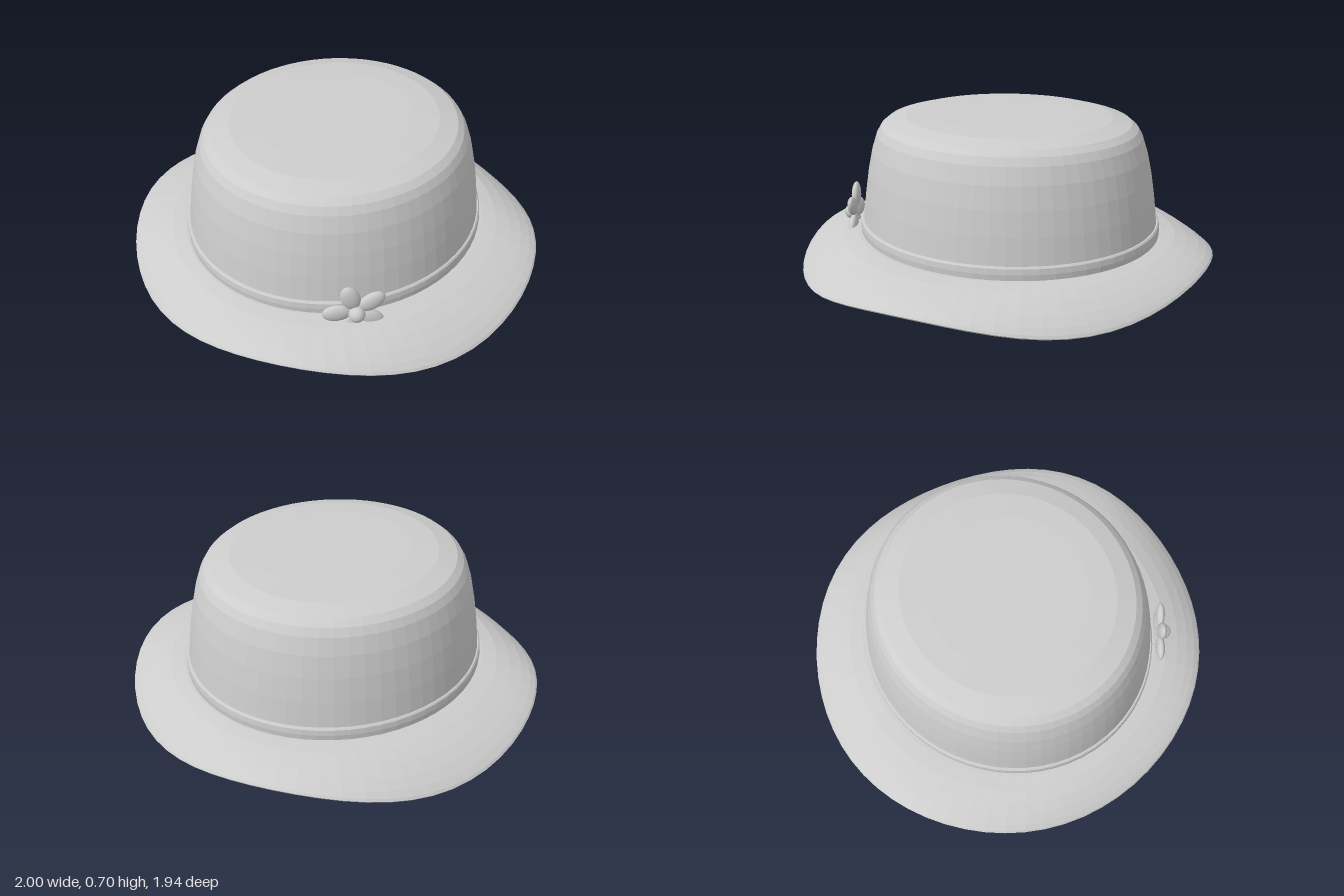
import * as THREE from 'three';

const felt = new THREE.MeshStandardMaterial({ color: 0xcccccc });
felt.name = 'grey felt';

// Faceted elliptical sweep; profile rows are [x radius, z radius, height, wave height]
function sweep(name, profile, segments = 64) {
  const pos = [], index = [], n = segments + 1;
  profile.forEach(([rx, rz, y, wave = 0]) => {
    for (let j = 0; j <= segments; j++) {
      const a = (j / segments) * Math.PI * 2;
      pos.push(rx * Math.sin(a), y + wave * Math.sin(4 * a), rz * Math.cos(a));
    }
  });
  for (let i = 0; i < profile.length - 1; i++) {
    for (let j = 0; j < segments; j++) {
      const a = i * n + j, b = a + n;
      if (profile[i][0] > 0) index.push(a, a + 1, b);
      if (profile[i + 1][0] > 0) index.push(a + 1, b + 1, b);
    }
  }
  let g = new THREE.BufferGeometry();
  g.setAttribute('position', new THREE.Float32BufferAttribute(pos, 3));
  g.setIndex(index);
  g = g.toNonIndexed();
  g.computeVertexNormals();
  const mesh = new THREE.Mesh(g, felt);
  mesh.name = name;
  return mesh;
}

function createCrown() {
  // Half profile of the outside, from the base to the centre of the top
  const outer = [
    [0.69, 0.15], [0.686, 0.21], [0.672, 0.33], [0.655, 0.44], [0.634, 0.54],
    [0.61, 0.615], [0.59, 0.65], [0.56, 0.675], [0.475, 0.698], [0.36, 0.704], [0, 0.706],
  ];
  const row = ([r, y]) => [r, r * 1.055, y];
  // Inside follows the outside, a wall thickness smaller
  const inner = outer.map(([r, y]) => [Math.max(0, r - 0.015), y - (y > 0.5 ? 0.015 : 0.004)]).reverse();
  return sweep('crown', [...outer, ...inner, outer[0]].map(row));
}

function createBrim() {
  // Steps outward: x radius, height of the upper face
  const steps = [[0.675, 0.156], [0.72, 0.154], [0.79, 0.143], [0.86, 0.121], [0.92, 0.096], [0.965, 0.072], [0.992, 0.053]];
  const row = (r, y) => {
    const s = (r - 0.675) / 0.325;
    return [r, THREE.MathUtils.lerp(0.712, 0.972, s), y, 0.036 * s * s];
  };
  const top = steps.map(([r, y]) => row(r, y)).reverse();
  const under = steps.map(([r, y]) => row(r - 0.005, y - 0.017));
  return sweep('brim', [...under, row(0.996, 0.037), row(1, 0.043), ...top, under[0]]);
}

function createBand() {
  const rows = [[0.68, 0.145], [0.699, 0.148], [0.701, 0.18], [0.698, 0.205], [0.692, 0.212], [0.68, 0.212]];
  return sweep('hatBand', rows.map(([r, y]) => [r, r * 1.055, y]));
}

// Five flattened petals around a round centre, facing diagonally outward
function createFlower() {
  const flower = new THREE.Group();
  flower.name = 'flower';
  const ball = new THREE.SphereGeometry(1, 20, 14);
  for (let i = 0; i < 5; i++) {
    const a = Math.PI + (i * Math.PI * 2) / 5;
    const petal = new THREE.Mesh(ball, felt);
    petal.name = 'petal';
    petal.scale.set(0.065, 0.042, 0.022);
    petal.position.set(0.083 * Math.cos(a), 0.083 * Math.sin(a), 0);
    petal.rotation.z = a;
    flower.add(petal);
  }
  const centre = new THREE.Mesh(ball, felt);
  centre.name = 'flowerCentre';
  centre.scale.setScalar(0.037);
  centre.position.z = 0.018;
  flower.add(centre);
  flower.position.set(0.523, 0.195, 0.547);
  flower.rotation.y = Math.PI / 4;
  return flower;
}

export function createModel() {
  const hat = new THREE.Group();
  hat.name = 'hat';
  hat.add(createCrown(), createBrim(), createBand(), createFlower());
  return hat;
}
